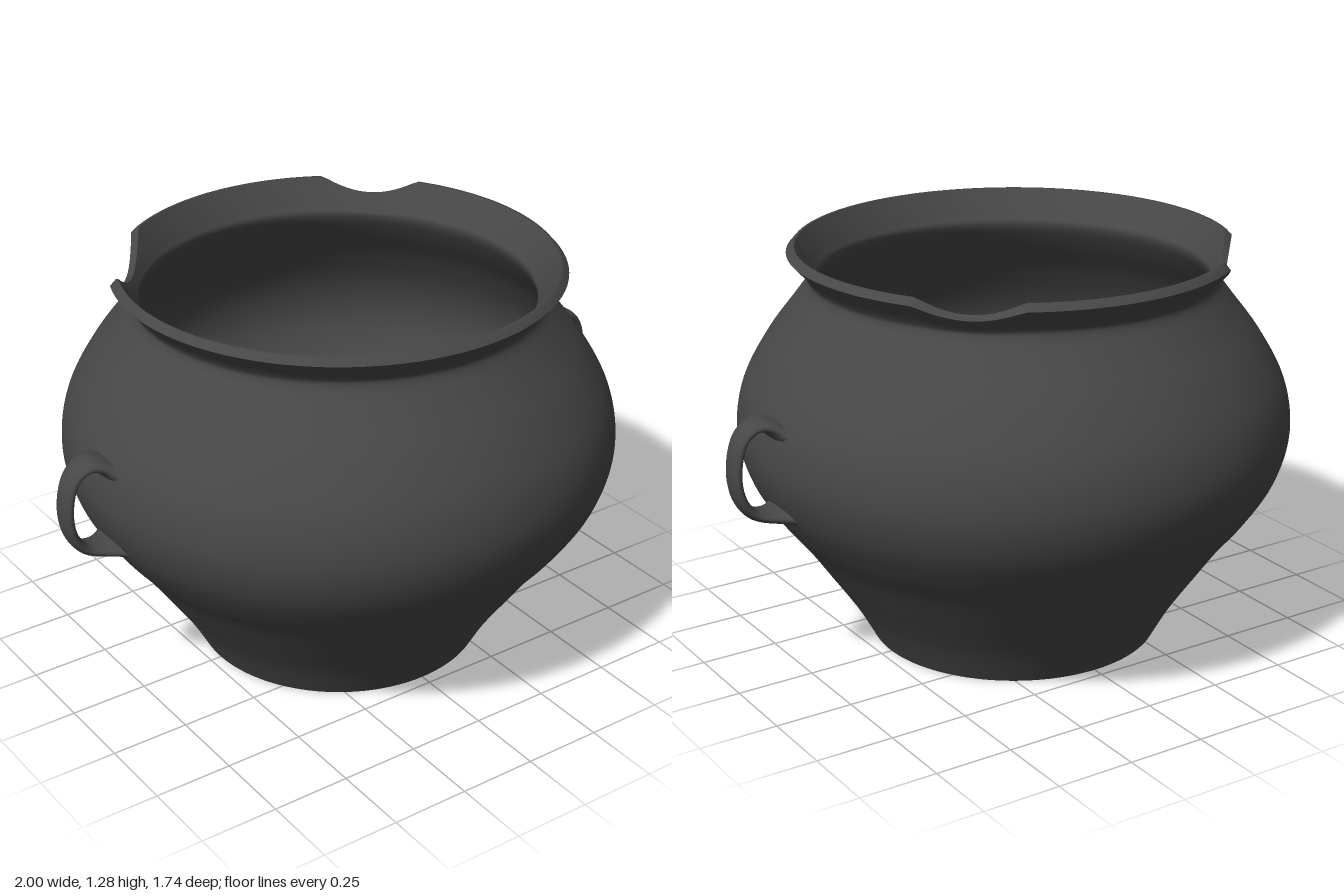
import * as THREE from 'three';

const clay = new THREE.MeshStandardMaterial({ color: 0x474747 });
clay.name = 'darkClay';

const SEGMENTS = 180;
const NECK_Y = 1.17, RIM_Y = 1.28;

// Broken spots in the rim: angle from the back, half width (degrees), depth
const chips = [
  { angle: -51, half: 17, depth: 0.077 },
  { angle: 44, half: 13.5, depth: 0.045 },
];

function chipDepth(x, z) {
  const a = THREE.MathUtils.radToDeg(Math.atan2(x, -z));
  let d = 0;
  for (const c of chips) {
    const t = (a - c.angle) / c.half;
    if (Math.abs(t) < 1) d = Math.max(d, c.depth * (1 - t * t));
  }
  return d;
}

// Turned surface whose flared rim is shortened where it is chipped
function turned(name, points, neckRadius) {
  const geo = new THREE.LatheGeometry(points, SEGMENTS);
  const p = geo.attributes.position;
  for (let i = 0; i < p.count; i++) {
    const x = p.getX(i), y = p.getY(i), z = p.getZ(i);
    const d = chipDepth(x, z);
    if (y <= NECK_Y || d === 0) continue;
    const k = 1 - d / (RIM_Y - NECK_Y);
    const r = Math.hypot(x, z);
    const s = (neckRadius(y) + (r - neckRadius(y)) * k) / r;
    p.setXYZ(i, x * s, NECK_Y + (y - NECK_Y) * k, z * s);
  }
  if (name === 'rimLip') geo.computeVertexNormals();
  const mesh = new THREE.Mesh(geo, clay);
  mesh.name = name;
  return mesh;
}

const vec = ([x, y]) => new THREE.Vector2(x, y);
const smooth = (pts, n) => new THREE.SplineCurve(pts.map(vec)).getPoints(n);

// Handle: a flat strap swept along a bow, flaring where it meets the body
function handleGeometry() {
  const path = new THREE.CatmullRomCurve3([
    [0.842, 0.828], [0.872, 0.848], [0.91, 0.853], [0.955, 0.82], [0.981, 0.72],
    [0.967, 0.63], [0.93, 0.58], [0.88, 0.563], [0.822, 0.56],
  ].map(([x, y]) => new THREE.Vector3(x, y, 0)));
  const rings = 48, sides = 20, pos = [], idx = [];
  for (let i = 0; i <= rings; i++) {
    const t = i / rings;
    const c = path.getPointAt(t), tan = path.getTangentAt(t);
    const flare = Math.pow(Math.abs(2 * t - 1), 5);
    const wide = 0.043 + 0.057 * flare, thick = 0.017 + 0.012 * flare;
    for (let j = 0; j <= sides; j++) {
      const a = (j / sides) * Math.PI * 2;
      const n = Math.cos(a) * thick;
      pos.push(c.x - tan.y * n, c.y + tan.x * n, Math.sin(a) * wide);
      if (i < rings && j < sides) {
        const p = i * (sides + 1) + j, q = p + sides + 1;
        idx.push(p, p + 1, q, p + 1, q + 1, q);
      }
    }
  }
  const geo = new THREE.BufferGeometry();
  geo.setAttribute('position', new THREE.Float32BufferAttribute(pos, 3));
  geo.setIndex(idx);
  geo.computeVertexNormals();
  return geo;
}

export function createModel() {
  const pot = new THREE.Group();
  pot.name = 'pot';

  // Outer wall from foot to flared rim
  const outer = smooth([
    [0.463, 0], [0.53, 0.12], [0.625, 0.26], [0.695, 0.36], [0.77, 0.455], [0.84, 0.57],
    [0.872, 0.70], [0.85, 0.84], [0.775, 0.98], [0.685, 1.1], [0.64, 1.165],
    [0.648, 1.2], [0.7, 1.26],
  ], 72);
  pot.add(turned('outerWall', outer, () => 0.637));

  // Bevelled lip
  const lip = [[0.7, 1.26], [0.682, 1.28], [0.674, 1.28]].map(vec);
  pot.add(turned('rimLip', lip, (y) => (y < 1.27 ? 0.637 : 0.618)));

  // Inner wall down to the floor
  const inner = smooth([
    [0.674, 1.28], [0.625, 1.205], [0.611, 1.165], [0.655, 1.09], [0.745, 0.97],
    [0.82, 0.83], [0.842, 0.70], [0.81, 0.58], [0.735, 0.46], [0.6, 0.27],
    [0.51, 0.13], [0.462, 0.03],
  ], 72);
  pot.add(turned('innerWall', inner, () => 0.618));

  // Inside floor and underside
  const disc = (name, r, y, tilt) => {
    const mesh = new THREE.Mesh(new THREE.CircleGeometry(r, SEGMENTS), clay);
    mesh.name = name;
    mesh.rotation.x = tilt;
    mesh.position.y = y;
    pot.add(mesh);
  };
  disc('insideFloor', 0.462, 0.03, -Math.PI / 2);
  disc('underside', 0.463, 0, Math.PI / 2);

  // Pair of handles
  const strap = handleGeometry();
  for (const [name, turn] of [['leftHandle', 0], ['rightHandle', Math.PI]]) {
    const handle = new THREE.Mesh(strap, clay);
    handle.name = name;
    handle.rotation.y = turn;
    pot.add(handle);
  }
  return pot;
}
